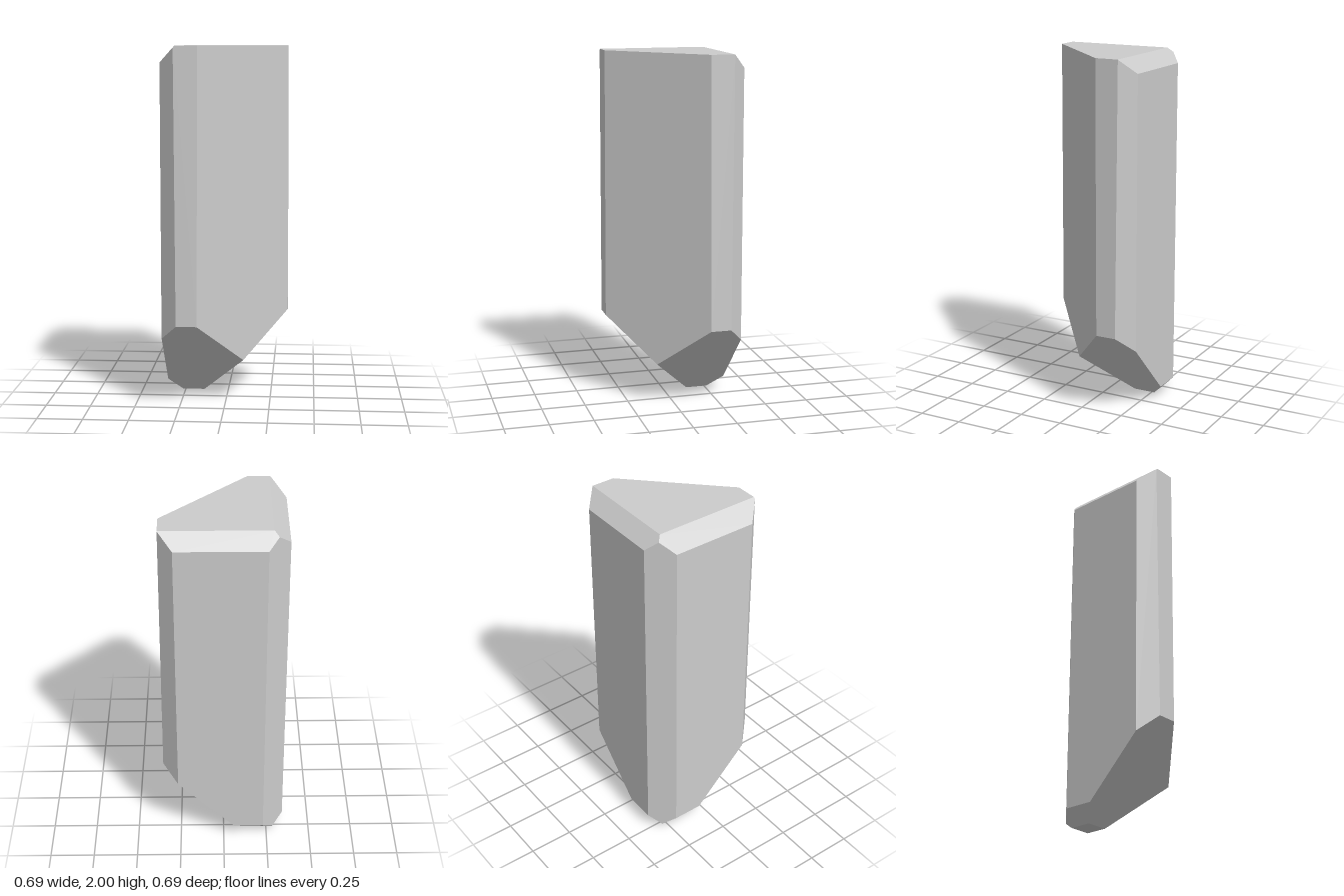
import * as THREE from 'three';
import { ConvexGeometry } from 'three/addons/geometries/ConvexGeometry.js';

// Each cut keeps the side where a*x + b*y + c*z <= d
const CUTS = [
  // top and bottom
  [0, 1, 0, 2], [0, -1, 0, 0],
  // four sides; right and front lean in slightly
  [-1, 0, 0, 0.345], [0, 0, -1, 0.345],
  [1, 0.0053, 0, 0.3475], [0, 0.0053, 1, 0.3455],
  // broad diagonal face and the three vertical corner bevels
  [1, 0, 1, 0.2], [-1, 0, -1, 0.573], [1, 0, -1, 0.605], [-1, 0, 1, 0.6],
  // bevels along the top edges
  [-1, 1, 0, 2.256], [0, 1, -1, 2.267],
  // sloping cuts that form the lower tip
  [1, -1, 0, -0.14], [0, -1, 1, -0.14],
  [-1, -1, 0, 0.265], [0, -1, -1, 0.265],
];

// Corners of the solid: points where three cuts meet inside all the others
function cornersOf(cuts) {
  const planes = cuts.map(([a, b, c, d]) => ({ n: new THREE.Vector3(a, b, c), d }));
  const corners = [];
  for (let i = 0; i < planes.length; i++) {
    for (let j = i + 1; j < planes.length; j++) {
      for (let k = j + 1; k < planes.length; k++) {
        const [p, q, r] = [planes[i], planes[j], planes[k]];
        const qr = q.n.clone().cross(r.n);
        const det = p.n.dot(qr);
        if (Math.abs(det) < 1e-6) continue;
        const v = qr.multiplyScalar(p.d)
          .addScaledVector(r.n.clone().cross(p.n), q.d)
          .addScaledVector(p.n.clone().cross(q.n), r.d)
          .divideScalar(det);
        const inside = planes.every(({ n, d }) => n.dot(v) <= d + 1e-6);
        if (inside && !corners.some((c) => c.distanceTo(v) < 1e-4)) corners.push(v);
      }
    }
  }
  return corners;
}

export function createModel() {
  const group = new THREE.Group();
  group.name = 'facetedShard';

  // Single faceted body
  const body = new THREE.Mesh(
    new ConvexGeometry(cornersOf(CUTS)),
    new THREE.MeshStandardMaterial({ color: 0xcccccc, flatShading: true }),
  );
  body.name = 'shardBody';
  group.add(body);
  return group;
}
